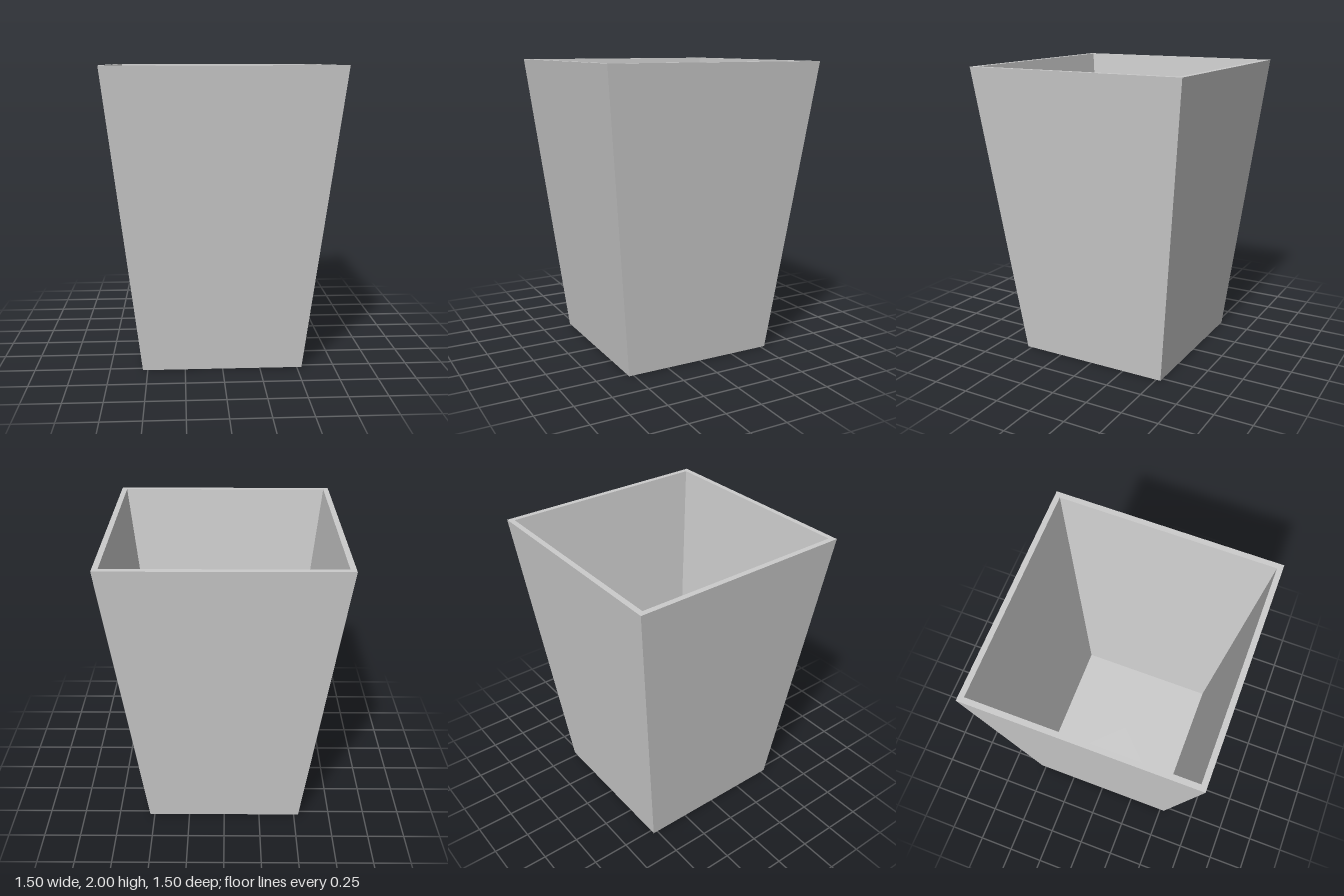
import * as THREE from 'three';

export function createModel() {
  const group = new THREE.Group();
  group.name = 'planter';
  const material = new THREE.MeshStandardMaterial({ color: 0xcccccc, flatShading: true });

  // Wall section as [half width, height]: underside, outer wall, rim, inner wall, floor
  const section = [
    [0, 0], [0.532, 0], [0.75, 2], [0.714, 2], [0.504, 0.07], [0, 0.07],
  ].map(([half, y]) => new THREE.Vector2(half * Math.SQRT2, y));

  // Four-sided lathe, turned so the flat sides face the axes
  const geometry = new THREE.LatheGeometry(section, 4, Math.PI / 4).toNonIndexed();
  geometry.computeVertexNormals();

  const pot = new THREE.Mesh(geometry, material);
  pot.name = 'taperedSquarePot';
  group.add(pot);
  return group;
}
